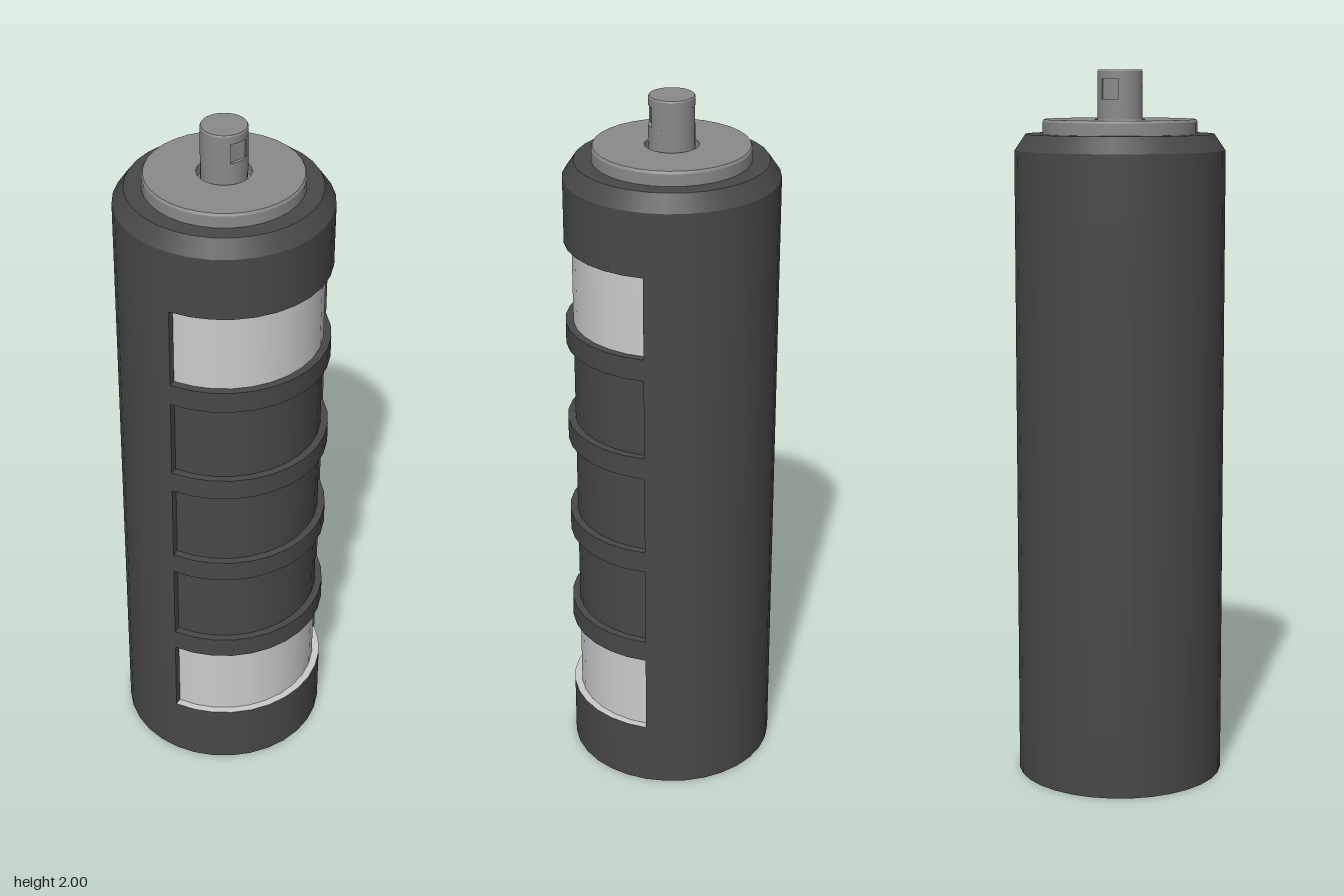
import * as THREE from 'three';
import { mergeGeometries } from 'three/addons/utils/BufferGeometryUtils.js';

const mat = (color) => new THREE.MeshStandardMaterial({ color, side: THREE.DoubleSide });
const STEP = Math.PI / 16; // 32-sided cylinders
const EDGE = 6 * STEP; // windows reach 67.5 degrees to each side of the front
const R = 0.293, RI = 0.272;

// Revolved profile with a crisp edge at every profile point
function ring(profile, from = 0, steps = 32) {
  const parts = [];
  for (let i = 0; i + 1 < profile.length; i++) {
    const pts = [profile[i], profile[i + 1]].map(([r, y]) => new THREE.Vector2(r, y));
    parts.push(new THREE.LatheGeometry(pts, steps, from, steps * STEP));
  }
  return mergeGeometries(parts);
}

export function createModel() {
  const model = new THREE.Group();
  const dark = mat(0x484848), light = mat(0xcccccc), metal = mat(0x8a8a8a);
  const add = (name, geometry, material, parent = model) => {
    const mesh = new THREE.Mesh(geometry, material);
    mesh.name = name;
    parent.add(mesh);
    return mesh;
  };

  // Outer shell: plain foot and shoulder, closed back, window frame at the front
  const shell = new THREE.Group();
  shell.name = 'shell';
  model.add(shell);
  const bottom = 0.185, top = 1.6, pitch = 0.2955, height = 0.233;
  add('foot', ring([[R, 0], [R, bottom]]), dark, shell);
  add('backWall', ring([[R, bottom], [R, top]], EDGE, 20), dark, shell);
  add('shoulder', ring([[RI, top], [R, top], [R, 1.78], [0.262, 1.825], [0.2, 1.825]]), dark, shell);
  for (const side of [-1, 1]) {
    const wall = add('windowSide', new THREE.PlaneGeometry(R - RI, top - bottom), dark, shell);
    const r = (R + RI) / 2;
    wall.position.set(side * r * Math.sin(EDGE), (top + bottom) / 2, r * Math.cos(EDGE));
    wall.rotation.y = side * (EDGE - Math.PI / 2);
  }

  // Five recessed windows, the outer two light, with bands between them
  for (let i = 0; i < 5; i++) {
    const y0 = bottom + i * pitch, y1 = y0 + height, y2 = y0 + pitch;
    add('windowPanel', ring([[RI, y0], [RI, y1]], -EDGE, 12), i % 4 ? dark : light);
    if (i < 4) add('band', ring([[RI, y1], [R, y1], [R, y2], [RI, y2]], -EDGE, 12), dark, shell);
  }

  // Inner lining: ledge above the foot, light at the back, dark behind the windows
  add('innerLedge', ring([[RI - 0.002, bottom], [R, bottom]]), light);
  add('liningBack', ring([[RI - 0.002, top], [RI - 0.002, bottom]], EDGE, 20), light);
  add('liningFront', ring([[RI - 0.002, top], [RI - 0.002, bottom]], -EDGE, 12), dark);

  // Top cap with a round well for the nozzle
  add('cap', ring([[0.215, 1.825], [0.215, 1.858], [0.211, 1.865], [0.073, 1.865],
    [0.073, 1.835], [0, 1.835]]), metal);

  // Nozzle: a round stem with a small rectangular recess front and back
  const nozzle = new THREE.Group();
  nozzle.name = 'nozzle';
  model.add(nozzle);
  const n = 0.0625, a = Math.asin(0.025 / n), y0 = 1.92, y1 = 1.975;
  add('stem', ring([[n, 1.835], [n, y0], [0, y0]]), metal, nozzle);
  add('button', ring([[0, y1], [n, y1], [n, 1.996], [0.06, 2], [0, 2]]), metal, nozzle);
  for (const turn of [0, Math.PI]) {
    const side = add('nozzleSide', new THREE.LatheGeometry(
      [new THREE.Vector2(n, y0), new THREE.Vector2(n, y1)], 12, a, Math.PI - 2 * a), metal, nozzle);
    side.rotation.y = turn;
  }
  const core = add('recessCore', new THREE.BoxGeometry(0.05, y1 - y0, 0.106), metal, nozzle);
  core.position.y = (y0 + y1) / 2;
  for (const x of [-0.025, 0.025]) {
    const cheek = add('recessCheek', new THREE.PlaneGeometry(0.114, y1 - y0), metal, nozzle);
    cheek.position.set(x, (y0 + y1) / 2, 0);
    cheek.rotation.y = Math.sign(x) * -Math.PI / 2;
  }
  return model;
}
